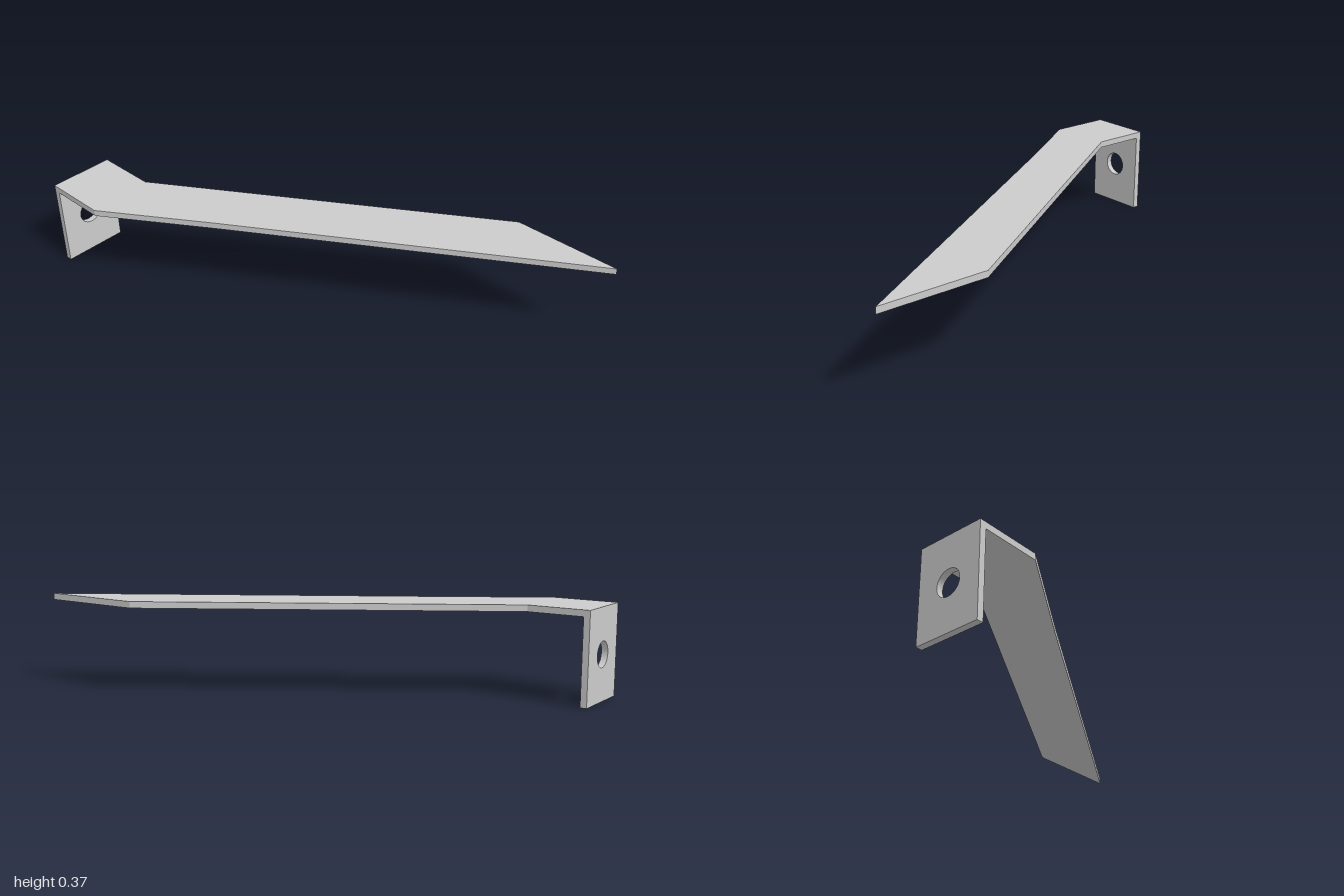
import * as THREE from 'three';

const T = 0.026;                    // sheet thickness
const TOP = 0.372;                  // height of the arm's upper face
const LEFT = -0.547, INNER = -0.274, RIGHT = 0.547;

function plate(name, shape, material) {
  const geometry = new THREE.ExtrudeGeometry(shape, { depth: T, bevelEnabled: false, curveSegments: 24 });
  const mesh = new THREE.Mesh(geometry, material);
  mesh.name = name;
  return mesh;
}

export function createModel() {
  const group = new THREE.Group();
  group.name = 'angledBracket';
  const material = new THREE.MeshStandardMaterial({ color: 0xcccccc });

  // Flat arm, outlined in x and z, with a short straight root and a slanted run
  const outline = [
    [LEFT, -1], [INNER, -1], [INNER, -0.747], [RIGHT, 0.557],
    [RIGHT, 1], [INNER, -0.312], [LEFT, -0.735],
  ].map(([x, z]) => new THREE.Vector2(x, z));
  const arm = plate('arm', new THREE.Shape(outline), material);
  arm.geometry.rotateX(Math.PI / 2);
  arm.position.y = TOP;

  // Mounting tab hanging from the back edge, with a round bolt hole
  const face = new THREE.Shape([
    new THREE.Vector2(LEFT, 0), new THREE.Vector2(INNER, 0),
    new THREE.Vector2(INNER, TOP - T), new THREE.Vector2(LEFT, TOP - T),
  ]);
  face.holes.push(new THREE.Path().absarc((LEFT + INNER) / 2, 0.187, 0.052, 0, Math.PI * 2, true));
  const tab = plate('mountingTab', face, material);
  tab.position.z = -1;

  group.add(arm, tab);
  return group;
}
